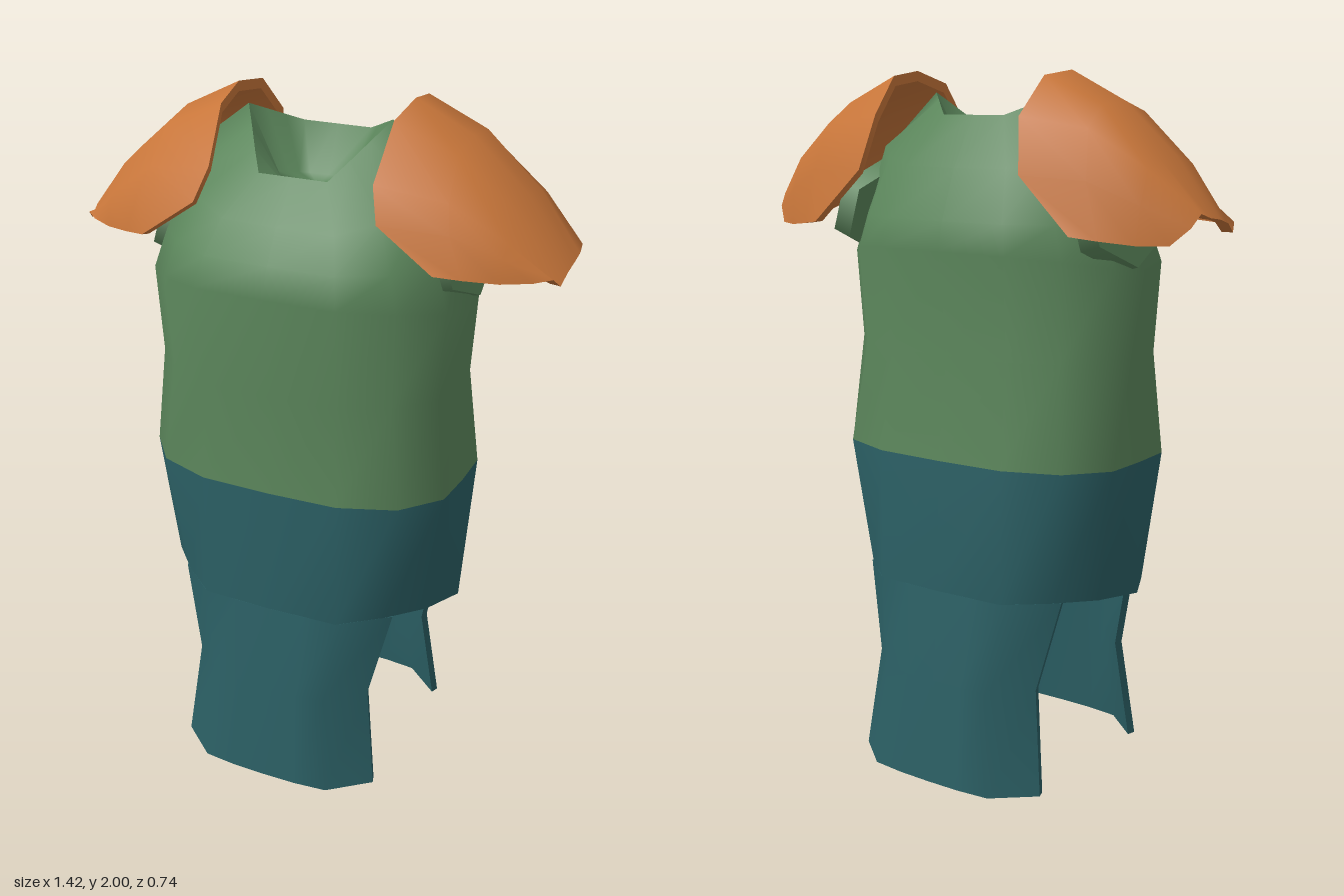
import * as THREE from 'three';

const mat = (name, color) => {
  const m = new THREE.MeshStandardMaterial({ color });
  m.name = name;
  return m;
};

// Unit cross-section of the garment: front centre, round the side, to the back centre
const mirrorSection = (q) => {
  const half = [...q, ...q.slice(0, -1).reverse().map(([x, z]) => [x, -z])];
  return [...half, ...half.slice(1, -1).reverse().map(([x, z]) => [-x, z])];
};
// Fullness f pushes the corners of the body section out or in
const body = (f) => mirrorSection([
  [0, 1], [0.45, 0.98], [0.74 * f, 0.74 * f], [Math.min(0.95 * f, 0.99), 0.4 * f], [1, 0],
]);
const NECK = mirrorSection([[0, 1], [0.47, 1], [0.65, 0.67], [0.82, 0.34], [1, 0]]);

// One ring; its height may differ at the front, sides and back
const ring = (section, w, front, back, ySide, yFront = ySide, yBack = ySide, zOff = 0) =>
  section.map(([x, z]) => [
    x * w,
    ySide + (z > 0 ? (yFront - ySide) * z : (ySide - yBack) * z),
    z * (z > 0 ? front : back) + zOff,
  ]);

const point = (y, z = 0) => NECK.map(() => [0, y, z]);

// Joins rings bottom to top, with the surface facing outwards
function loft(rows, splitRow) {
  const n = rows[0].length, index = [];
  for (let r = 0; r < rows.length - 1; r++) {
    for (let i = 0; i < n; i++) {
      const a = r * n + i, b = r * n + (i + 1) % n, c = a + n, d = b + n;
      index.push(a, b, d, a, d, c);
    }
  }
  const g = new THREE.BufferGeometry();
  g.setAttribute('position', new THREE.Float32BufferAttribute(rows.flat(2), 3));
  g.setIndex(index);
  g.computeVertexNormals();
  if (splitRow) {
    const split = splitRow * n * 6;
    g.addGroup(0, split, 0);
    g.addGroup(split, index.length - split, 1);
  }
  return g;
}

// Bends a segmented box by a rule
function bend(g, rule) {
  const p = g.attributes.position;
  for (let i = 0; i < p.count; i++) p.setXYZ(i, ...rule(p.getX(i), p.getY(i), p.getZ(i)));
  g.computeVertexNormals();
  return g;
}

// Shoulder guard: stations from neck to tip, each from ridge to rim as [x, y, half depth]
const GUARD = [
  [[0.255, 2.0, 0], [0.245, 1.975, 0.12], [0.232, 1.85, 0.22], [0.26, 1.73, 0.262], [0.42, 1.6, 0.27]],
  [[0.42, 1.92, 0], [0.42, 1.9, 0.11], [0.43, 1.82, 0.195], [0.45, 1.72, 0.235], [0.49, 1.59, 0.24]],
  [[0.58, 1.78, 0], [0.58, 1.765, 0.09], [0.58, 1.72, 0.15], [0.58, 1.66, 0.185], [0.575, 1.58, 0.198]],
  [[0.712, 1.62, 0], [0.71, 1.617, 0.05], [0.704, 1.61, 0.09], [0.692, 1.605, 0.12], [0.65, 1.58, 0.155]],
];
// The guard leans: front flanks sit lower and the front rim higher than at the back
const LEAN = [0, -0.01, -0.03, 0, 0.02];

function shoulderGuard(side) {
  const zMid = side > 0 ? -0.04 : -0.015;
  return bend(new THREE.BoxGeometry(8, 3, 1, 8, 3, 1), (u, v, w) => {
    const a = Math.round(Math.abs(u));
    const [x, y, d] = GUARD[Math.round(v + 1.5)][a];
    const toFront = side * Math.sign(u);
    const k = w > 0 ? 1 : 0.93;
    return [
      side * (0.27 + (x - 0.27) * k),
      1.59 + (y + toFront * LEAN[a] - 1.59) * k,
      zMid + toFront * d * k,
    ];
  });
}

// Long hanging flap, curved across and flaring at the hem; side = 1 front, -1 back
function flap(side) {
  const drops = [0, 0.002, 0.012], spread = [0, 0.33, 0.64, 1];
  const levels = [[0, 0.315, 0.372, 0.108], [0.3, 0.28, 0.345, 0.11], [0.56, 0.34, 0.315, 0.115]];
  return bend(new THREE.BoxGeometry(6, 2, 1, 6, 2, 1), (u, v, w) => {
    const [y, width, z, edge] = levels[Math.round(v + 1)];
    const a = Math.round(Math.abs(u));
    const depth = z - (a === 3 ? edge : drops[a]) - (w > 0 ? 0 : 0.025);
    const x = Math.sign(u) * spread[a] * (w > 0 ? width : width - 0.008);
    return [side * x, y, side * depth];
  });
}

export function createModel() {
  const model = new THREE.Group();
  model.name = 'armouredTunic';
  const green = mat('greenCloth', 0x5c875c);
  const teal = mat('tealCloth', 0x2b5f64);
  const orange = mat('orangeArmour', 0xc8763a);

  const garment = new THREE.Group();
  garment.name = 'garment';
  garment.position.x = -0.016;
  model.add(garment);
  const add = (parent, name, geometry, material) => {
    const m = new THREE.Mesh(geometry, material);
    m.name = name;
    parent.add(m);
    return m;
  };

  // Skirt and tunic share one smooth surface, split by colour at the waist
  const hem = ring(body(0.93), 0.465, 0.315, 0.315, 0.56);
  const neck = ring(NECK, 0.215, 0.165, 0.115, 1.94, 1.8, 1.88, -0.025);
  add(garment, 'tunicAndSkirt', loft([
    hem,
    ring(body(1.07), 0.463, 0.315, 0.312, 0.94),
    ring(body(1.04), 0.435, 0.3, 0.27, 1.23),
    ring(body(1), 0.468, 0.33, 0.302, 1.46, 1.52, 1.52),
    ring(body(1), 0.428, 0.295, 0.285, 1.6),
    ring(body(1), 0.37, 0.24, 0.23, 1.82, 1.69, 1.74),
    neck,
  ], 1), [teal, green]);

  // Sunken bowl inside the neckline
  add(garment, 'neckOpening', loft([
    neck, ring(NECK, 0.12, 0.08, 0.07, 1.765, 1.75, 1.75, -0.01), point(1.74, -0.01),
  ]), green);

  // Hem thickness and inside of the garment
  const innerHem = ring(body(0.93), 0.44, 0.29, 0.29, 0.56);
  add(garment, 'hemEdge', loft([innerHem, hem]), teal);
  add(garment, 'lining', loft([
    point(1.6),
    ring(body(1), 0.43, 0.29, 0.27, 1.46),
    ring(body(1.04), 0.41, 0.275, 0.245, 1.23),
    ring(body(1.07), 0.438, 0.29, 0.287, 0.94),
    innerHem,
  ], 3), [green, teal]);

  add(garment, 'frontFlap', flap(1), teal);
  add(garment, 'backFlap', flap(-1), teal);

  // Closed six-sided arm openings under the guards, and the guards themselves
  for (const [label, side] of [['left', 1], ['right', -1]]) {
    const opening = add(garment, `${label}ArmOpening`,
      new THREE.CylinderGeometry(1, 1, 0.06, 6, 1, false, Math.PI / 6), green);
    opening.scale.set(0.14, 1, 0.19);
    opening.rotation.z = -side * (Math.PI / 2 - 0.29);
    opening.position.set(side * 0.404, 1.61, -0.045);
    add(model, `${label}ShoulderGuard`, shoulderGuard(side), orange);
  }
  return model;
}
